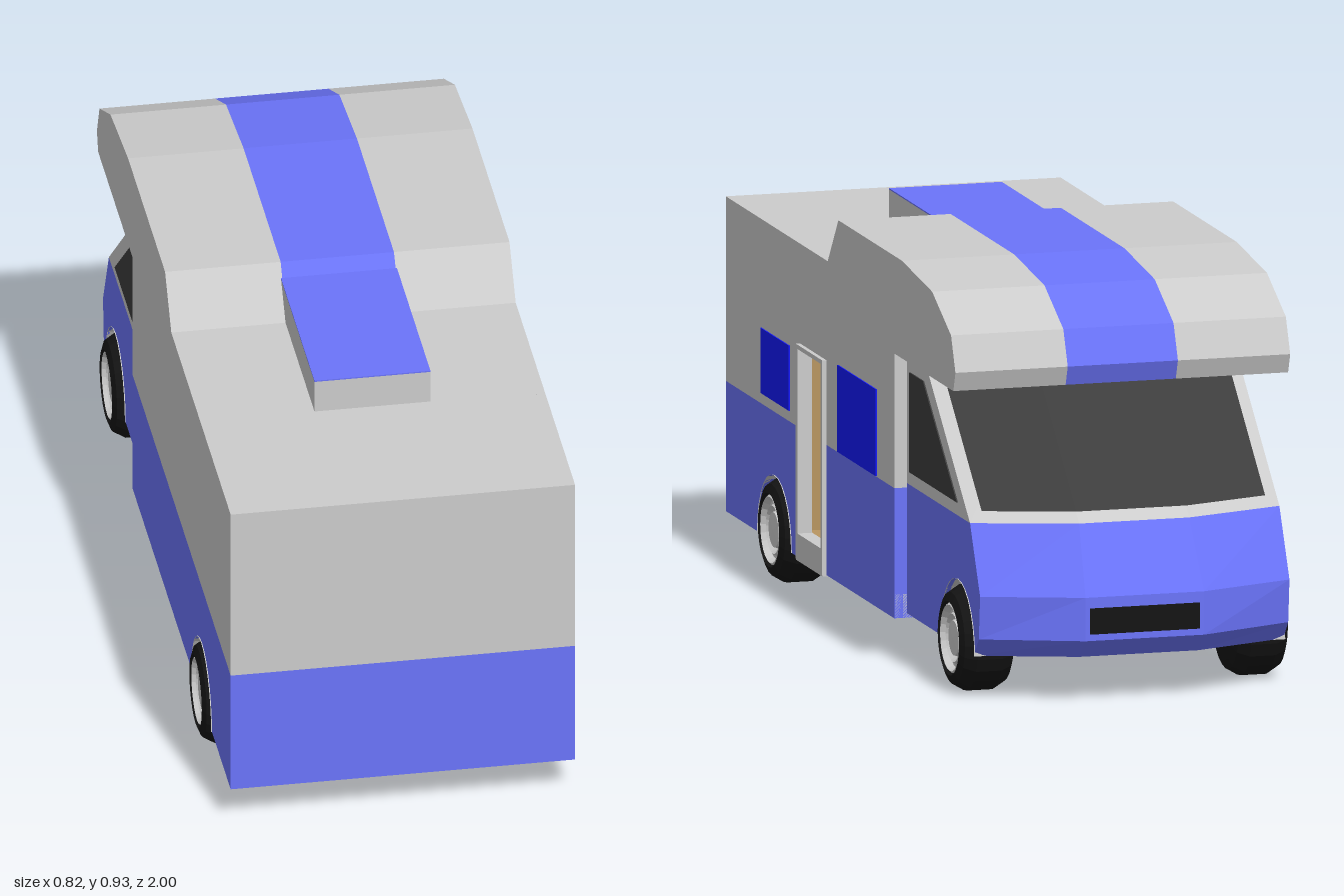
import * as THREE from 'three';

const mat = (color) => new THREE.MeshStandardMaterial({ color, flatShading: true, side: THREE.DoubleSide });

export function createModel() {
  const model = new THREE.Group();
  const grey = mat(0xcccccc), blue = mat(0x6b74fa), paneBlue = mat(0x1419fa);
  const glass = mat(0x3d3d3d), black = mat(0x141414), wood = mat(0xb89560);
  const W = 0.395, CAB = 0.365, BASE = 0.095, BELT = 0.395, SPLIT = -0.34;
  const REAR = 0.61, FRONT = -0.745, ARCH = 0.135, WELL = 0.255;

  function add(name, geometry, material) {
    const mesh = new THREE.Mesh(geometry, material);
    mesh.name = name;
    model.add(mesh);
    return mesh;
  }
  function box(name, material, [x0, x1], [y0, y1], [z0, z1]) {
    const g = new THREE.BoxGeometry(x1 - x0, y1 - y0, z1 - z0);
    return add(name, g.translate((x0 + x1) / 2, (y0 + y1) / 2, (z0 + z1) / 2), material);
  }
  const shapeOf = (pts) => new THREE.Shape(pts.map(([a, b]) => new THREE.Vector2(a, b)));
  const rect = (z0, z1, y0, y1) => [[z0, y0], [z1, y0], [z1, y1], [z0, y1]];
  // upright panel drawn in (z, y), reaching from x inward by depth
  function panel(name, material, shape, x, depth) {
    const g = new THREE.ExtrudeGeometry(shape, { depth, bevelEnabled: false, curveSegments: 14 });
    return add(name, g.rotateY(-Math.PI / 2).translate(x, 0, 0), material);
  }
  // level slab drawn in (x, z), reaching down from y
  function slab(name, material, pts, y, depth) {
    const g = new THREE.ExtrudeGeometry(shapeOf(pts), { depth, bevelEnabled: false });
    return add(name, g.rotateX(Math.PI / 2).translate(0, y, 0), material);
  }
  // quads between neighbouring rows of points
  function skin(name, material, rows) {
    const pos = [];
    for (let i = 0; i + 1 < rows.length; i++)
      for (let j = 0; j + 1 < rows[i].length; j++) {
        const a = rows[i][j], b = rows[i][j + 1], c = rows[i + 1][j + 1], d = rows[i + 1][j];
        pos.push(...a, ...b, ...c, ...a, ...c, ...d);
      }
    const g = new THREE.BufferGeometry();
    g.setAttribute('position', new THREE.Float32BufferAttribute(pos, 3));
    g.computeVertexNormals();
    return add(name, g, material);
  }
  // wheel arch along the lower edge, walked from front to back
  const arch = (z, y) => Array.from({ length: 15 }, (_, i) => {
    const t = Math.PI * (1 - i / 14);
    return [z + ARCH * Math.cos(t), y + (ARCH + 0.02) * Math.sin(t)];
  });

  // living area side walls, the right one open at the door
  const roof = [[1, 0.82], [0.19, 0.82], [0.105, 0.93], [-0.4, 0.93], [-0.64, 0.903],
    [-0.79, 0.83], [-0.825, 0.75], [-0.808, 0.705], [SPLIT, 0.705]];
  for (const s of [1, -1]) {
    const x = s > 0 ? W : -W + 0.02;
    const doorLow = s > 0 ? [[0.21, BASE], [0.21, BELT], [0.405, BELT], [0.405, BASE]] : [];
    const doorHigh = s > 0 ? [[0.405, BELT], [0.405, 0.585], [0.21, 0.585], [0.21, BELT]] : [];
    const lower = [[SPLIT, BASE], ...doorLow.slice(0, 2)];
    if (s > 0) {
      panel('lowerSideFront', blue, shapeOf(rect(SPLIT, 0.21, BASE, BELT)), x, 0.02);
      panel('lowerSideRear', blue, shapeOf([[0.405, BASE], ...arch(REAR, BASE), [1, BASE], [1, BELT], [0.405, BELT]]), x, 0.02);
    } else {
      panel('lowerSide', blue, shapeOf([...lower, ...arch(REAR, BASE), [1, BASE], [1, BELT], [SPLIT, BELT]]), x, 0.02);
    }
    panel('upperSide', grey, shapeOf([...roof, [SPLIT, BELT], ...doorHigh.slice().reverse(), [1, BELT]]), x, 0.02);
  }

  // back wall and bulkhead behind the cab
  for (const [name, z] of [['backWall', [0.98, 1]], ['bulkhead', [SPLIT, SPLIT + 0.02]]]) {
    box(name + 'Lower', blue, [-W, W], [BASE, BELT], z);
    box(name + 'Upper', grey, [-W, W], [BELT, z[1] === 1 ? 0.82 : 0.705], z);
  }

  // roof skin in three bands, the middle one a coloured stripe
  const band = (pts, x0, x1) => pts.map(([z, y]) => [[x0, y, z], [x1, y, z]]);
  skin('rearRoof', grey, band(roof.slice(0, 2), -W, W));
  skin('raisedRoofLeft', grey, band(roof.slice(1, 8), 0.13, W));
  skin('raisedRoofRight', grey, band(roof.slice(1, 8), -W, -0.13));
  skin('roofStripe', blue, band(roof.slice(1, 8), -0.13, 0.13));
  skin('overcabUnderside', grey, band(roof.slice(7), -W, W));
  box('roofBox', grey, [-0.133, 0.133], [0.82, 0.898], [0.13, 0.585]);
  box('roofBoxTop', blue, [-0.133, 0.133], [0.898, 0.901], [0.128, 0.585]);

  // floor with wheel notches, and the interior seen through the door
  const notch = (z, s, w) => [[s * w, z - ARCH], [s * WELL, z - ARCH], [s * WELL, z + ARCH], [s * w, z + ARCH]];
  slab('floor', grey, [[W - 0.003, SPLIT], ...notch(REAR, 1, W - 0.003), [W - 0.003, 0.99], [-W + 0.003, 0.99],
    ...notch(REAR, -1, W - 0.003).reverse(), [-W + 0.003, SPLIT]], 0.15, 0.15 - BASE);
  box('woodFloor', wood, [-0.375, 0.375], [0.15, 0.154], [-0.3, 0.44]);
  box('woodPartition', wood, [-0.37, 0.37], [0.154, 0.6], [0.43, 0.45]);

  // door frame and step
  const frame = shapeOf(rect(0.2, 0.412, BASE, 0.59));
  frame.holes.push(new THREE.Path(rect(0.215, 0.397, 0.155, 0.58).map(([a, b]) => new THREE.Vector2(a, b))));
  panel('doorFrame', grey, frame, 0.405, 0.035);
  box('doorStep', grey, [0.255, 0.404], [0.092, 0.15], [0.2, 0.412]);

  // windows on the door side
  box('rearWindow', paneBlue, [W - 0.01, W + 0.003], [0.42, 0.57], [0.49, 0.715]);
  box('middleWindow', paneBlue, [W - 0.01, W + 0.003], [0.397, 0.597], [-0.2, 0.105]);

  // cab nose: rings of height, corner z, centre z, centre half width
  const rings = [[0.105, -0.87, -0.95, 0.14], [0.15, -0.91, -1, 0.14], [0.25, -0.92, -1, 0.14],
    [0.405, -0.84, -0.915, 0.13], [0.705, -0.49, -0.575, 0.13]];
  const row = ([y, zc, zn, xn]) => [[CAB, y, zc], [xn, y, zn], [-xn, y, zn], [-CAB, y, zc]];
  skin('nose', blue, rings.slice(0, 4).map(row));
  skin('windscreenFrame', grey, rings.slice(3).map(row));
  const lerp = (a, b, t) => a.map((v, i) => v + (b[i] - v) * t);
  const [beltRow, topRow] = rings.slice(3).map(row);
  skin('windscreen', glass, [0.07, 0.95].map((v) => {
    const r = beltRow.map((p, i) => lerp(p, topRow[i], v));
    return [lerp(r[0], r[1], 0.13), r[1], r[2], lerp(r[3], r[2], 0.13)]
      .map(([x, y, z]) => [x, y + 0.003, z - 0.004]);
  }));
  box('grille', black, [-0.13, 0.13], [0.165, 0.225], [-1, -0.98]).position.z = -0.002;

  // cab sides, side windows and cab floor
  for (const s of [1, -1]) {
    const at = (x, d) => (s > 0 ? x : -x + d);
    panel('cabSide', blue, shapeOf([[-0.87, 0.105], ...arch(FRONT, 0.105).slice(1), [SPLIT, 0.105], [SPLIT, 0.405],
      [-0.84, 0.405], [-0.92, 0.25], [-0.91, 0.15]]), at(CAB, 0.01), 0.01);
    panel('cabPillars', grey, shapeOf([[SPLIT, 0.405], [SPLIT, 0.705], [-0.49, 0.705], [-0.84, 0.405]]), at(CAB, 0.01), 0.01);
    panel('cabWindow', glass, shapeOf([[-0.367, 0.435], [-0.367, 0.665], [-0.475, 0.665], [-0.745, 0.435]]), at(CAB + 0.003, 0.008), 0.008);
  }
  slab('cabFloor', grey, [[CAB - 0.002, SPLIT], [-CAB + 0.002, SPLIT], ...notch(FRONT, -1, CAB - 0.002).reverse().map(([x, z]) => [x, Math.max(z, -0.868)]),
    [-0.14, -0.948], [0.14, -0.948], ...notch(FRONT, 1, CAB - 0.002).map(([x, z]) => [x, Math.max(z, -0.868)])], 0.11, 0.005);

  // wheels and wheel wells
  const lathe = (pts) => new THREE.LatheGeometry(pts.map(([r, y]) => new THREE.Vector2(r, y)), 24).rotateZ(-Math.PI / 2);
  const tyre = lathe([[0, 0], [0.085, 0], [0.105, 0.008], [0.121, 0.035], [0.121, 0.095], [0.105, 0.122], [0.085, 0.13], [0.08, 0.122]]);
  const rim = lathe([[0.081, 0.122], [0.076, 0.127], [0.068, 0.112], [0.06, 0.112], [0.055, 0.12], [0.044, 0.106], [0.04, 0.118], [0, 0.12]]);
  for (const [place, z, x, edge, base] of [['rear', REAR, 0.28, W, BASE], ['front', FRONT, 0.258, CAB, 0.105]])
    for (const s of [1, -1]) {
      const wheel = new THREE.Group();
      wheel.name = place + 'Wheel';
      for (const [name, g, m] of [['tyre', tyre, black], ['rim', rim, grey]]) {
        const part = new THREE.Mesh(g, m);
        part.name = name;
        wheel.add(part);
      }
      wheel.position.set(s * x, 0.124, z);
      wheel.rotation.y = s > 0 ? 0 : Math.PI;
      model.add(wheel);
      const arc = arch(z, base);
      skin(place + 'WheelWell', grey, arc.map(([az, ay]) => [[s * WELL, ay, az], [s * (edge + 0.002), ay, az]]));
      panel(place + 'WellWall', grey, shapeOf(arc), s * WELL, 0.002);
    }
  return model;
}
